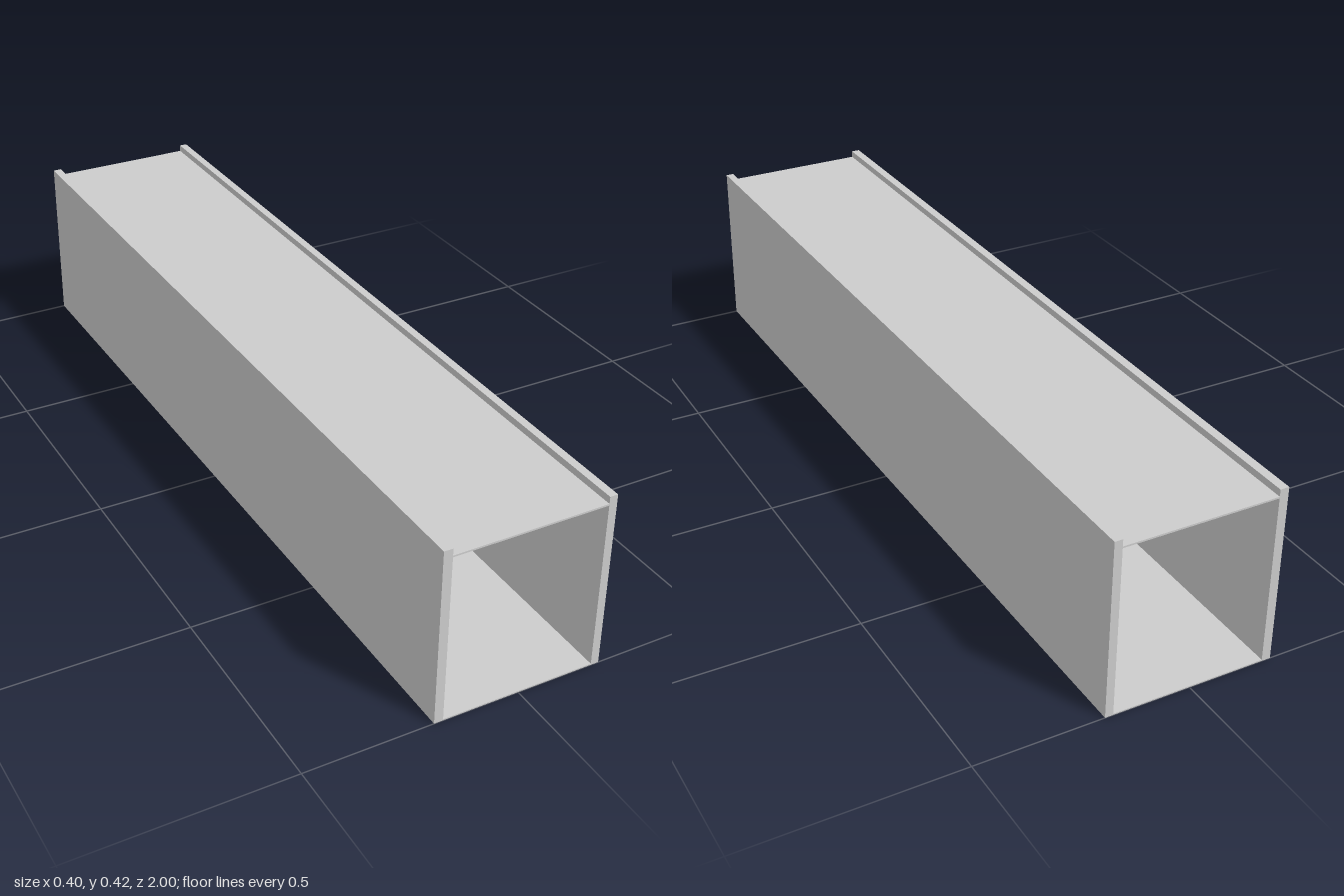
import * as THREE from 'three';

const LENGTH = 2;

export function createModel() {
  const model = new THREE.Group();
  model.name = 'openChannel';
  const material = new THREE.MeshStandardMaterial({ color: 0xcccccc, flatShading: true });

  // A full-length panel given by its cross-section limits
  function addPanel(name, x0, x1, y0, y1) {
    const panel = new THREE.Mesh(new THREE.BoxGeometry(x1 - x0, y1 - y0, LENGTH), material);
    panel.name = name;
    panel.position.set((x0 + x1) / 2, (y0 + y1) / 2, 0);
    model.add(panel);
  }

  // Side walls, rising a little above the top panel
  addPanel('rightWall', -0.201, -0.18, 0, 0.4215);
  addPanel('leftWall', 0.182, 0.201, 0, 0.4215);

  // Thin floor and top panel between the walls, both ends left open
  addPanel('floorPanel', -0.18, 0.182, 0, 0.003);
  addPanel('topPanel', -0.18, 0.182, 0.401, 0.405);

  return model;
}
